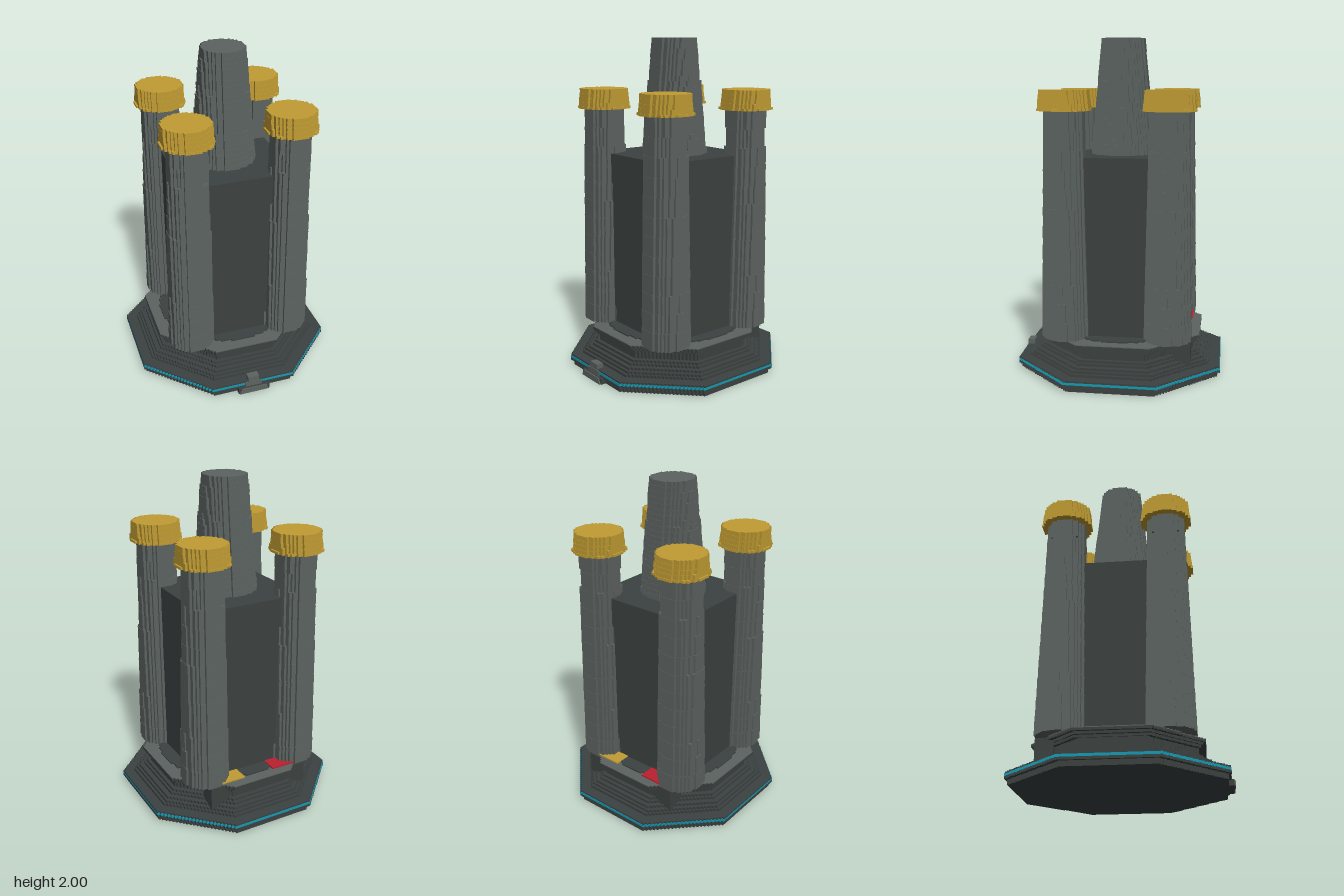
import * as THREE from 'three';
import { mergeGeometries } from 'three/addons/utils/BufferGeometryUtils.js';

const V = 1 / 64; // block size
const CZ = -0.015; // centre of the body in z

const mat = (name, color) => {
  const m = new THREE.MeshStandardMaterial({ color });
  m.name = name;
  return m;
};

// half widths of the two kinds of plan
const circle = (r) => (z) => Math.sqrt(Math.max(0, r * r - z * z));
const octagon = (a) => (z) => Math.min(a, a * Math.SQRT2 - Math.abs(z));

// one layer with a block-stepped outline
function layer(plan, r, y0, y1) {
  const half = plan(r);
  const rows = Math.round((2 * r) / V);
  const d = (2 * r) / rows;
  const right = [], left = [];
  for (let i = 0; i < rows; i++) {
    const z = -r + i * d;
    const w = Math.min(r, Math.max(V, Math.round(half(z + d / 2) / V) * V));
    right.push(new THREE.Vector2(w, z), new THREE.Vector2(w, z + d));
    left.unshift(new THREE.Vector2(-w, z + d), new THREE.Vector2(-w, z));
  }
  // keep only the corners of the staircase
  const all = [...right, ...left];
  const pts = all.filter((p, i) => {
    const a = all[(i + all.length - 1) % all.length], b = all[(i + 1) % all.length];
    return !p.equals(a) && !(a.x === p.x && p.x === b.x);
  });
  const g = new THREE.ExtrudeGeometry(new THREE.Shape(pts), { depth: y1 - y0, bevelEnabled: false });
  return g.rotateX(-Math.PI / 2).translate(0, y0, 0);
}

// tapered stack of equal layers
function taper(plan, r0, r1, y0, y1, n) {
  const parts = [];
  const h = (y1 - y0) / n;
  for (let i = 0; i < n; i++) {
    parts.push(layer(plan, r0 + ((r1 - r0) * i) / (n - 1), y0 + i * h, y0 + (i + 1) * h));
  }
  return mergeGeometries(parts);
}

export function createModel() {
  const dark = mat('dark stone', 0x3c4241);
  const grey = mat('grey stone', 0x5c6360);
  const gold = mat('gold', 0xc19c33);
  const red = mat('red', 0xbc2030);
  const cyan = mat('cyan glow', 0x1599b2);

  const model = new THREE.Group();
  const add = (name, geo, material, x = 0, y = 0, z = CZ, parent = model) => {
    const m = new THREE.Mesh(geo, material);
    m.name = name;
    m.position.set(x, y, z);
    parent.add(m);
    return m;
  };
  const box = (name, material, x0, x1, y0, y1, z0, z1) =>
    add(name, new THREE.BoxGeometry(x1 - x0, y1 - y0, z1 - z0), material,
      (x0 + x1) / 2, (y0 + y1) / 2, (z0 + z1) / 2);

  // octagonal base: foot, sloped plinth, waist and flared rim
  const base = [
    [0, 0.03, 0.6], [0.03, 0.045, 0.615], [0.06, 0.07, 0.612],
    [0.07, 0.085, 0.547], [0.085, 0.1, 0.53], [0.1, 0.115, 0.515],
    [0.115, 0.13, 0.49], [0.13, 0.145, 0.47], [0.145, 0.19, 0.447],
    [0.19, 0.205, 0.46], [0.205, 0.22, 0.473], [0.22, 0.235, 0.488],
  ];
  add('base', mergeGeometries(base.map(([y0, y1, a]) => layer(octagon, a, y0, y1))), dark);
  add('baseGlowBand', layer(octagon, 0.615, 0.045, 0.06), cyan);
  add('baseTop', layer(octagon, 0.488, 0.235, 0.24), grey);
  add('floorDisc', layer(circle, 0.42, 0.24, 0.248), dark);

  // central block and spire
  box('core', dark, -0.335, 0.335, 0.24, 1.312, CZ - 0.335, CZ + 0.335);
  add('spire', taper(circle, 0.19, 0.128, 1.312, 2, 22), grey);

  // four corner columns with caps
  const shaft = taper(circle, 0.138, 0.113, 0.24, 1.58, 12);
  const cap = mergeGeometries([
    layer(circle, 0.152, 1.58, 1.594),
    taper(circle, 0.148, 0.14, 1.594, 1.7, 4),
  ]);
  for (const sx of [-1, 1]) {
    for (const sz of [-1, 1]) {
      const column = new THREE.Group();
      column.name = 'column';
      column.position.set(sx * 0.305, 0, CZ + sz * 0.305);
      add('columnShaft', shaft, grey, 0, 0, 0, column);
      add('columnCap', cap, gold, 0, 0, 0, column);
      model.add(column);
    }
  }

  // rear corner blocks with coloured tops
  for (const [s, m] of [[-1, red], [1, gold]]) {
    const [a, b] = s < 0 ? [-0.33, -0.1] : [0.1, 0.33];
    box('rearBlock', dark, a, b, 0.1, 0.232, -0.455, -0.35);
    box('rearPlate', m, a, b, 0.243, 0.252, -0.45, -0.35);
  }

  // front step and small pedestal
  box('frontStep', dark, -0.1, 0.1, 0, 0.035, 0.58, 0.618);
  const face = new THREE.Shape([[-0.095, 0], [0.095, 0], [0.08, 0.035], [-0.08, 0.035]]
    .map(([x, y]) => new THREE.Vector2(x, y)));
  add('frontStepFace', new THREE.ExtrudeGeometry(face, { depth: 0.007, bevelEnabled: false }),
    grey, 0, 0, 0.618);
  box('frontPedestal', grey, -0.055, 0.055, 0.035, 0.065, 0.58, 0.606);
  box('frontPedestalTop', grey, -0.035, 0.035, 0.065, 0.1, 0.56, 0.602);

  return model;
}
